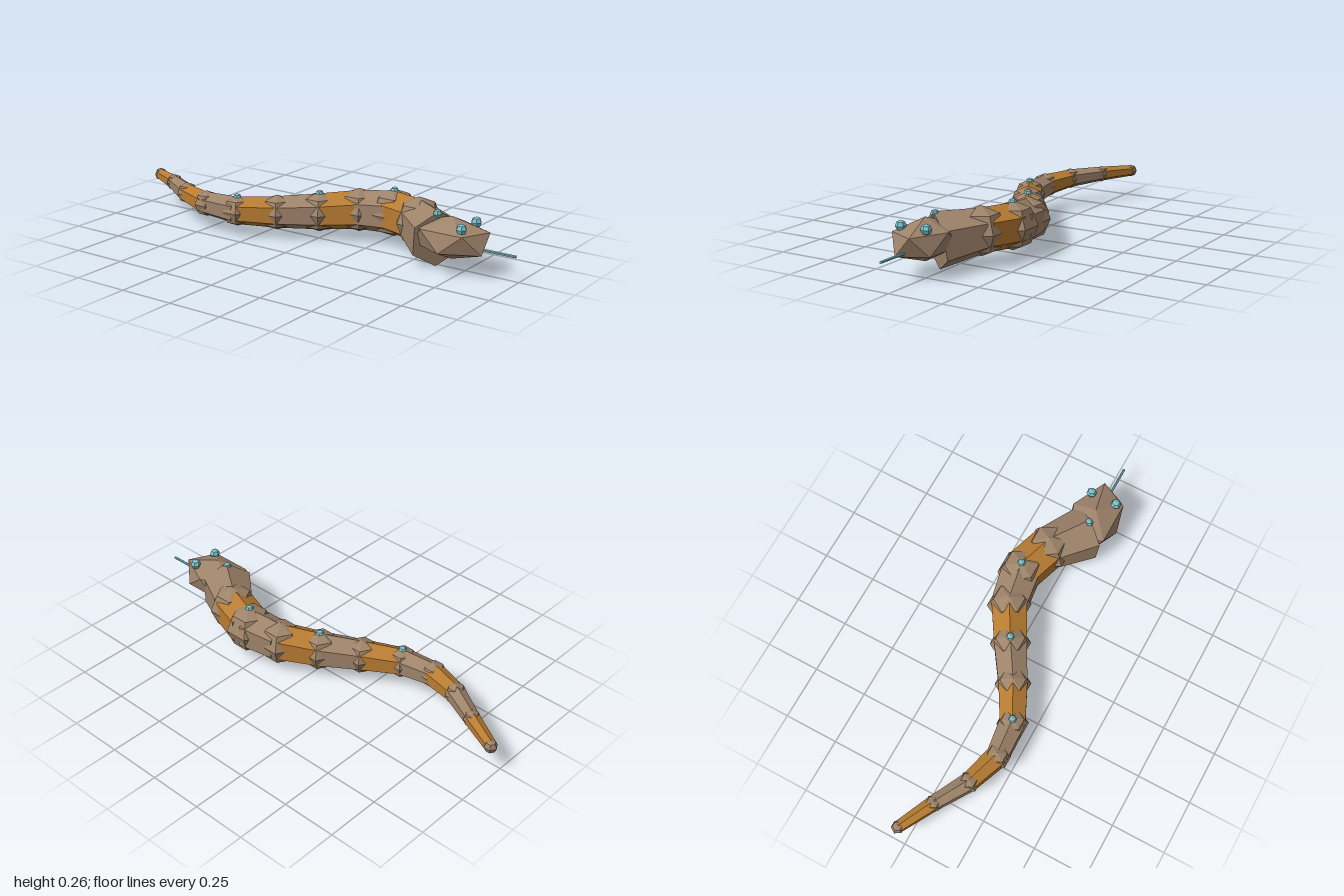
import * as THREE from 'three';
import { ConvexGeometry } from 'three/addons/geometries/ConvexGeometry.js';

const mat = (name, color) => {
  const m = new THREE.MeshStandardMaterial({ color, flatShading: true });
  m.name = name;
  return m;
};

export function createModel() {
  const brown = mat('brown scales', 0x9e836a);
  const ochre = mat('ochre bands', 0xb87c32);
  const teal = mat('teal gems', 0x7cc4cc);
  const model = new THREE.Group();
  model.name = 'snake';

  const add = (name, geometry, material, x = 0, y = 0, z = 0) => {
    const mesh = new THREE.Mesh(geometry, material);
    mesh.name = name;
    mesh.position.set(x, y, z);
    model.add(mesh);
    return mesh;
  };
  // six-sided ball with corners facing front and back
  const ball = (r) => new THREE.SphereGeometry(r, 6, 4).rotateY(Math.PI / 6);

  // spine from neck to tail tip: x, y, z, joint radius
  const spine = [
    [-0.03, 0.125, 0.63, 0.137],
    [0.083, 0.146, 0.47, 0.109],
    [0.137, 0.142, 0.31, 0.109],
    [0.11, 0.132, 0.145, 0.1],
    [0.02, 0.118, -0.01, 0.092],
    [-0.08, 0.112, -0.17, 0.081],
    [-0.165, 0.112, -0.33, 0.071],
    [-0.18, 0.121, -0.495, 0.06],
    [-0.13, 0.132, -0.655, 0.049],
    [-0.042, 0.136, -0.81, 0.039],
    [0.04, 0.132, -0.97, 0.03],
  ];

  spine.forEach(([x, y, z, r], i) => {
    // joints
    if (i > 0) add('joint' + i, ball(r), brown, x, y, z);
    // gems on every second joint of the front half
    if (i % 2 === 0 && i < 8) {
      const top = i === 0 ? 0.237 : y + r - 0.011;
      add('backGem' + i, ball(0.02), teal, i === 0 ? -0.035 : x, top, z);
    }
    // tapered six-sided segments in alternating colours
    if (i < spine.length - 1) {
      const n = spine[i + 1];
      const a = new THREE.Vector3(x, y, z);
      const b = new THREE.Vector3(n[0], n[1], n[2]);
      const mid = a.clone().add(b).multiplyScalar(0.5);
      const geometry = new THREE.CylinderGeometry(n[3] * 0.91, r * 0.91, a.distanceTo(b), 6);
      geometry.rotateX(Math.PI / 2);
      add('bodySegment' + i, geometry, i % 2 ? ochre : brown, mid.x, mid.y, mid.z).lookAt(b);
    }
  });

  // head: stretched icosahedron standing on a corner
  const points = [new THREE.Vector3(0, 1, 0), new THREE.Vector3(0, -1, 0)];
  for (let k = 0; k < 5; k++) {
    const t = (k * Math.PI * 2) / 5;
    const x = Math.cos(t) * 0.894, z = Math.sin(t) * 0.894;
    points.push(new THREE.Vector3(x, 0.447, z), new THREE.Vector3(-x, -0.447, -z));
  }
  points.forEach((p) => p.multiply(new THREE.Vector3(0.127, 0.093, 0.19)));
  add('head', new ConvexGeometry(points), brown, -0.035, 0.147, 0.7);

  // eyes
  for (const s of [-1, 1]) {
    add(s > 0 ? 'leftEye' : 'rightEye', ball(0.024), teal, -0.035 + s * 0.062, 0.212, 0.78);
  }

  // tongue
  const tongue = new THREE.CylinderGeometry(0.006, 0.006, 0.2, 6).rotateX(Math.PI / 2);
  add('tongue', tongue, teal, -0.035, 0.121, 0.9);

  return model;
}
